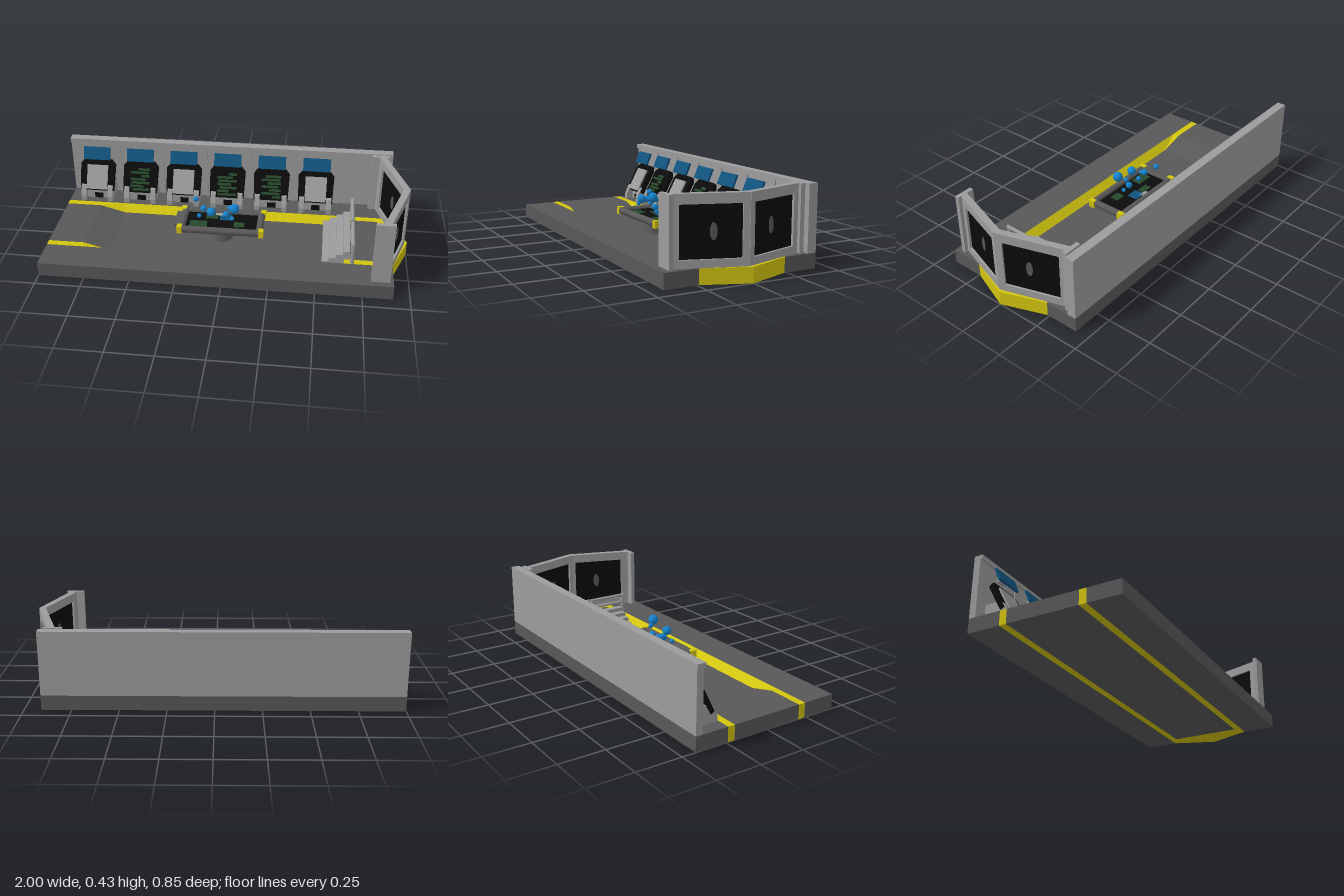
import * as THREE from 'three';

const paint = (name, color, extra = {}) => {
  const m = new THREE.MeshStandardMaterial({ color, ...extra });
  m.name = name;
  return m;
};

export function createModel() {
  const M = {
    floor: paint('dark grey floor', 0x585858),
    wall: paint('light grey panel', 0x9c9c9c),
    yellow: paint('safety yellow', 0xd2c40f),
    black: paint('black glass', 0x0b0b0b),
    screen: paint('deep blue screen', 0x11557f),
    ball: paint('bright blue', 0x1583cf),
    green: paint('dark green', 0x25482a),
  };
  const root = new THREE.Group();
  root.name = 'controlRoom';

  const add = (parent, name, geo, mat, x = 0, y = 0, z = 0) => {
    const m = new THREE.Mesh(geo, mat);
    m.name = name;
    m.position.set(x, y, z);
    parent.add(m);
    return m;
  };
  const box = (parent, name, mat, w, h, d, x, y, z) =>
    add(parent, name, new THREE.BoxGeometry(w, h, d), mat, x, y, z);
  // box given by its limits
  const span = (parent, name, mat, x0, x1, y0, y1, z0, z1) =>
    box(parent, name, mat, x1 - x0, y1 - y0, z1 - z0, (x0 + x1) / 2, (y0 + y1) / 2, (z0 + z1) / 2);
  const group = (parent, name, x = 0, y = 0, z = 0) => {
    const g = new THREE.Group();
    g.name = name;
    g.position.set(x, y, z);
    parent.add(g);
    return g;
  };
  // polygon extruded along z, centred on z = 0
  const slab = (points, depth) =>
    new THREE.ExtrudeGeometry(new THREE.Shape(points.map(p => new THREE.Vector2(...p))),
      { depth, bevelEnabled: false }).translate(0, 0, -depth / 2);

  // --- floor: two side slabs, a sunken centre with a ramp, and the pointed nose
  for (const s of [-1, 1])
    box(root, 'sideFloor', M.floor, 1.91, 0.08, 0.185, -0.045, 0.04, s * 0.3325);
  add(root, 'sunkenFloor', slab([[-1, 0], [0.84, 0], [0.84, 0.08], [0.65, 0.08], [0.65, 0.04],
    [-0.65, 0.04], [-0.8, 0.08], [-1, 0.08]], 0.4), M.floor);
  add(root, 'nose', slab([[0.84, -0.24], [0.91, -0.24], [1, 0], [0.91, 0.24], [0.84, 0.24]], 0.08)
    .rotateX(-Math.PI / 2), M.yellow, 0, 0.04, 0);

  // yellow stripes whose inner edge drops with the sunken floor
  const stations = [[-1, 0.08], [-0.8, 0.08], [-0.65, 0.04], [0.649, 0.04], [0.65, 0.08], [0.84, 0.08]];
  for (const s of [-1, 1]) {
    let g = new THREE.BoxGeometry(5, 0.08, 0.04, 5, 1, 1);
    const p = g.attributes.position;
    for (let i = 0; i < p.count; i++) {
      const [x, y] = stations[Math.round(p.getX(i) + 2.5)];
      const innerTop = p.getY(i) > 0 && p.getZ(i) * s < 0;
      p.setXYZ(i, x, innerTop ? y : p.getY(i) + 0.04, p.getZ(i) + s * 0.22);
    }
    g = g.toNonIndexed();
    g.computeVertexNormals();
    add(root, 'floorStripe', g, M.yellow);
  }

  // --- back wall
  const back = group(root, 'backWall');
  span(back, 'wallPanel', M.wall, -1, 0.91, 0.08, 0.43, -0.425, -0.387);
  span(back, 'topLip', M.wall, -1, 0.89, 0.405, 0.43, -0.39, -0.375);
  span(back, 'endPost', M.wall, 0.885, 0.91, 0.08, 0.43, -0.39, -0.375);
  for (let i = 0; i < 6; i++) {
    const x = -0.704 + i * 0.262;
    span(back, 'divider', M.wall, x - 0.006, x + 0.006, 0.08, 0.405, -0.39, -0.38);
  }

  // --- row of consoles
  const plate = slab([[-0.1, -0.09], [0.1, -0.09], [0.105, 0.07], [0.08, 0.1], [-0.08, 0.1], [-0.105, 0.07]], 0.025);
  const arm = slab([[-0.387, 0.08], [-0.25, 0.08], [-0.25, 0.11], [-0.275, 0.165], [-0.3, 0.18], [-0.387, 0.18]], 0.03)
    .rotateY(-Math.PI / 2);
  [0, 1, 0, 1, 1, 0].forEach((lit, i) => {
    const c = group(root, 'console', -0.835 + i * 0.262);
    for (const s of [-1, 1]) add(c, 'consoleLeg', arm, M.wall, s * 0.08);
    span(c, 'consoleFoot', M.wall, -0.066, 0.066, 0.08, 0.14, -0.387, -0.29);
    span(c, 'footOpening', M.black, -0.02, 0.03, 0.082, 0.115, -0.292, -0.286);
    const tilt = group(c, 'consoleFace', 0, 0.215, -0.303);
    tilt.rotation.x = -0.49;
    add(tilt, 'backPlate', plate, M.black, 0, 0.01, -0.018);
    box(tilt, 'display', lit ? M.black : M.wall, 0.125, 0.147, 0.01, 0, 0, 0);
    if (lit) {
      for (let r = 0; r < 7; r++) {
        const w = [0.1, 0.07, 0.11, 0.05, 0.09, 0.11, 0.08][(r + i) % 7];
        box(tilt, 'displayRow', M.green, w, 0.015, 0.004, (r % 2 ? -1 : 1) * (0.115 - w) / 2,
          0.06 - r * 0.02, 0.006);
      }
    }
    const upper = box(c, 'upperScreen', M.screen, 0.16, 0.076, 0.012, 0, 0.355, -0.343);
    upper.rotation.x = -0.4;
    box(c, 'screenBracket', M.wall, 0.05, 0.02, 0.04, 0, 0.355, -0.368);
  });

  // --- table with a framed sunken top
  const table = group(root, 'table', -0.045, 0, -0.015);
  add(table, 'pedestal', new THREE.CylinderGeometry(0.045, 0.065, 0.08, 12), M.floor, 0, 0.08, 0);
  box(table, 'tableTray', M.floor, 0.44, 0.02, 0.21, 0, 0.125, 0);
  box(table, 'tableGlass', M.black, 0.4, 0.004, 0.18, 0, 0.137, 0);
  for (const s of [-1, 1]) {
    add(table, 'longRail', new THREE.CylinderGeometry(0.02, 0.02, 0.43, 10).rotateZ(Math.PI / 2),
      M.floor, 0, 0.137, s * 0.1);
    add(table, 'shortRail', new THREE.CylinderGeometry(0.02, 0.02, 0.19, 10).rotateX(Math.PI / 2),
      M.floor, s * 0.22, 0.137, 0);
    for (const t of [-1, 1])
      box(table, 'railCorner', M.yellow, 0.028, 0.042, 0.036, s * 0.23, 0.137, t * 0.1);
  }
  box(table, 'sideHandle', M.floor, 0.03, 0.02, 0.14, -0.25, 0.137, 0);
  [['green', 0.1, 0.06, -0.13, 0.04], ['green', 0.06, 0.05, 0.1, 0.03], ['green', 0.07, 0.04, -0.06, -0.04],
    ['screen', 0.07, 0.06, 0.02, -0.04], ['wall', 0.05, 0.03, -0.02, -0.07]]
    .forEach(([m, w, d, x, z]) => box(table, 'mapPatch', M[m], w, 0.003, d, x, 0.14, z));

  // floating markers above the table
  const sphere = new THREE.SphereGeometry(1, 14, 10);
  [[-0.2, 0.245, -0.065, 0.016], [-0.17, 0.19, 0.02, 0.013], [-0.15, 0.215, -0.02, 0.018],
    [-0.1, 0.228, 0.035, 0.025], [-0.095, 0.2, -0.02, 0.014], [-0.02, 0.19, -0.01, 0.019],
    [0.03, 0.255, 0.03, 0.028], [0.0, 0.235, -0.005, 0.014], [0.015, 0.17, 0.0, 0.012]]
    .forEach(([x, y, z, r]) => add(root, 'marker', sphere, M.ball, x, y, z).scale.setScalar(r));

  // --- steps and railing
  for (let i = 0; i < 4; i++)
    span(root, 'step', M.wall, 0.53 + i * 0.0375, 0.68, 0.03, 0.06 + i * 0.023, -0.215, 0.2);
  const rail = group(root, 'railing', 0.692, 0, -0.005);
  for (const s of [-1, 1]) {
    for (const z of [0.235, 0.02])
      add(rail, 'railPost', new THREE.CylinderGeometry(0.009, 0.012, 0.12, 8), M.wall, 0, 0.14, s * z);
    for (const y of [0.15, 0.195])
      add(rail, 'railBar', new THREE.CylinderGeometry(0.01, 0.01, 0.235, 8).rotateX(Math.PI / 2),
        M.wall, 0, y, s * 0.1275);
  }

  // --- angled end wall: two framed black panels meeting at a point
  const end = group(root, 'endWall', 0.965, 0, 0.012);
  for (const s of [-1, 1]) {
    const half = group(end, 'endWallHalf');
    half.rotation.y = Math.atan2(-0.951 * s, -0.308);
    span(half, 'bottomRail', M.wall, 0, 0.385, 0.08, 0.12, -0.018, 0.018);
    span(half, 'topRail', M.wall, 0, 0.385, 0.38, 0.43, -0.018, 0.018);
    span(half, 'centrePost', M.wall, -0.005, 0.028, 0.08, 0.43, -0.018, 0.018);
    span(half, 'outerPost', M.wall, 0.33, 0.385, 0.08, 0.43, -0.018, 0.018);
    span(half, 'darkPanel', M.black, 0.02, 0.335, 0.11, 0.39, -0.006, 0.006);
    const spot = add(half, 'panelFigure', new THREE.CylinderGeometry(1, 1, 1, 16).rotateX(Math.PI / 2),
      M.floor, 0.165, 0.25, 0);
    spot.scale.set(0.018, 0.042, 0.016);
    box(end, 'endFlange', M.wall, 0.1, 0.35, 0.024, -0.125, 0.255, s * 0.364);
  }
  return root;
}
